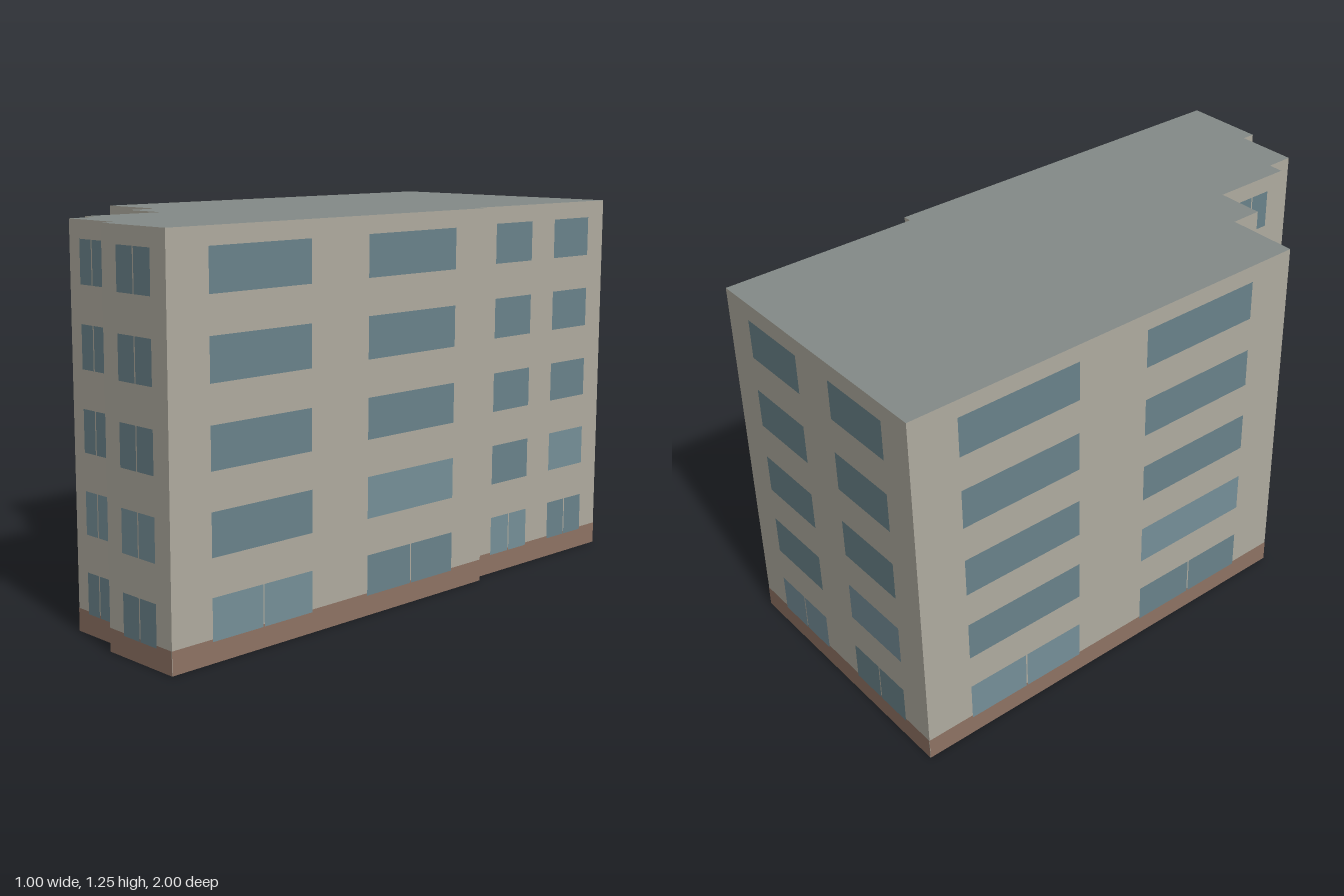
import * as THREE from 'three';

const HEIGHT = 1.248, BASE = 0.073;
const FLOORS = [[0.065, 0.195], [0.312, 0.445], [0.562, 0.693], [0.811, 0.944], [1.06, 1.192]];

// Footprint corners (x, z), walked so that every wall faces outwards
const FOOTPRINT = [
  [-0.472, 0.483], [-0.229, 0.478], [-0.226, 0.586], [-0.064, 0.583], [-0.059, 0.866],
  [-0.006, 0.865], [-0.003, 0.96], [0.213, 0.955], [0.214, 1], [0.5, 0.994],
  [0.472, -0.327], [0.443, -0.326], [0.43, -1], [-0.502, -0.984],
];

const paint = (color, side = THREE.FrontSide) => new THREE.MeshStandardMaterial({ color, side });
const MAT = {
  wall: paint(0xb0aca0, THREE.DoubleSide), roof: paint(0x848b88, THREE.DoubleSide),
  base: paint(0x8f7364), glass: paint(0x6a838b), lightGlass: paint(0x769099),
};

// Flat rectangle in wall coordinates: u along the wall, y up
function panel(name, u0, u1, y0, y1, material, out = 0) {
  const mesh = new THREE.Mesh(new THREE.PlaneGeometry(u1 - u0, y1 - y0), material);
  mesh.name = name;
  mesh.position.set((u0 + u1) / 2, (y0 + y1) / 2, out);
  return mesh;
}

// One window, either a single pane or two panes with a gap
function addWindow(wall, u0, u1, [y0, y1], split, material) {
  const mid = (u0 + u1) / 2, gap = 0.0025;
  const panes = split ? [[u0, mid - gap], [mid + gap, u1]] : [[u0, u1]];
  for (const [a, b] of panes) wall.add(panel('windowPane', a, b, y0, y1, material, 0.002));
}

function makeWall([x0, z0], [x1, z1]) {
  const wall = new THREE.Group();
  const dx = x1 - x0, dz = z1 - z0, length = Math.hypot(dx, dz);
  wall.name = 'plainReturn';
  wall.position.set(x0, 0, z0);
  wall.rotation.y = Math.atan2(-dz, dx);

  // The wall surface is also seen from inside, through the open bottom
  wall.add(panel('wallSurface', 0, length, 0, HEIGHT, MAT.wall));

  // Short returns between the facades stay plain
  if (length < 0.13) return wall;
  wall.name = 'facade';
  wall.add(panel('baseBand', 0, length, 0, BASE, MAT.base, 0.001));

  // Long facades have two windows per floor, short ones a single split window
  const wide = length > 0.5;
  const margin = length > 1 ? 0.112 : 0.13;
  const columns = wide ? [[margin, 0.408], [0.588, 1 - margin]] : [[0.24, 0.77]];
  FLOORS.forEach((floor, f) => columns.forEach(([a, b], c) => {
    const light = wide ? f < 2 && f === c : f === 1;
    addWindow(wall, a * length, b * length, floor, !wide || f === 0, light ? MAT.lightGlass : MAT.glass);
  }));
  return wall;
}

// Flat roof with the footprint outline
function makeRoof() {
  const shape = new THREE.Shape(FOOTPRINT.map(([x, z]) => new THREE.Vector2(x, -z)));
  const roof = new THREE.Mesh(new THREE.ShapeGeometry(shape).rotateX(-Math.PI / 2), MAT.roof);
  roof.name = 'roof';
  roof.position.y = HEIGHT;
  return roof;
}

export function createModel() {
  const building = new THREE.Group();
  building.name = 'apartmentBlock';
  FOOTPRINT.forEach((p, i) => building.add(makeWall(p, FOOTPRINT[(i + 1) % FOOTPRINT.length])));
  building.add(makeRoof());
  return building;
}
